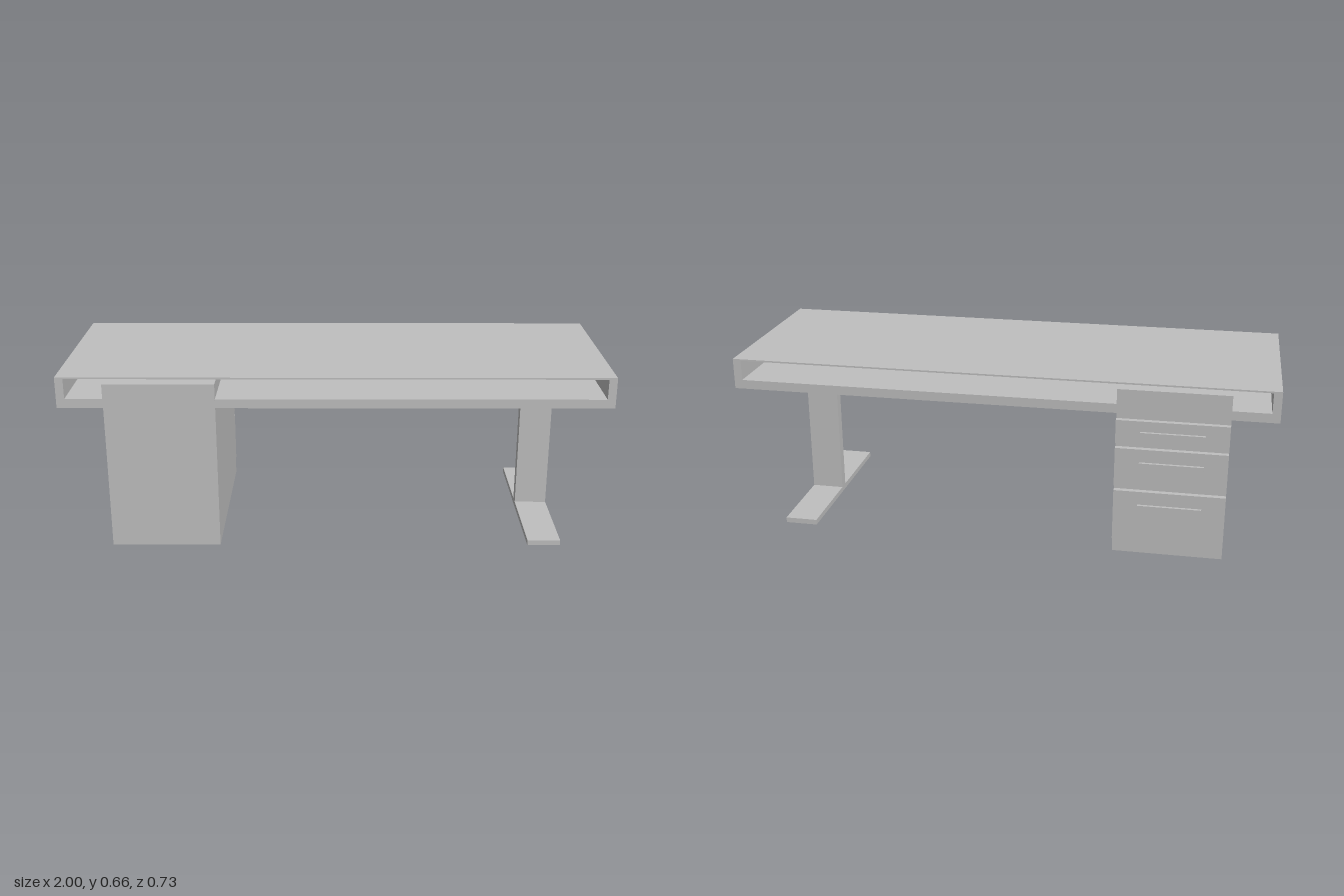
import * as THREE from 'three';

export function createModel() {
  const desk = new THREE.Group();
  desk.name = 'desk';
  const grey = new THREE.MeshStandardMaterial({ color: 0xbfbfbf });
  grey.name = 'plain grey';

  // Box given by its two opposite corners
  function box(name, [x0, y0, z0], [x1, y1, z1], parent = desk) {
    const mesh = new THREE.Mesh(new THREE.BoxGeometry(x1 - x0, y1 - y0, z1 - z0), grey);
    mesh.position.set((x0 + x1) / 2, (y0 + y1) / 2, (z0 + z1) / 2);
    mesh.name = name;
    parent.add(mesh);
    return mesh;
  }

  function rectangle(target, x0, y0, x1, y1) {
    target.moveTo(x0, y0);
    target.lineTo(x1, y0);
    target.lineTo(x1, y1);
    target.lineTo(x0, y1);
    target.closePath();
    return target;
  }

  // Hollow desktop, open at the front and the back
  const backZ = -0.341, frontZ = 0.366;
  const section = rectangle(new THREE.Shape(), -1, 0.546, 1, 0.661);
  section.holes.push(rectangle(new THREE.Path(), -0.97, 0.58, 0.97, 0.655));
  const top = new THREE.Mesh(
    new THREE.ExtrudeGeometry(section, { depth: frontZ - backZ, bevelEnabled: false }), grey);
  top.position.z = backZ;
  top.name = 'desktop';
  desk.add(top);

  // Drawer cabinet, its upper part set through the desktop floor
  const cabinet = new THREE.Group();
  cabinet.name = 'drawerCabinet';
  desk.add(cabinet);
  const cx0 = -0.834, cx1 = -0.432;
  box('cabinetBody', [cx0, 0, -0.335], [cx1, 0.546, 0.363], cabinet);
  box('cabinetTop', [cx0, 0.546, backZ - 0.001], [cx1, 0.636, frontZ + 0.001], cabinet);

  // Drawer fronts with bar handles: bottom, top, handle bottom
  [[0.437, 0.525, 0.468], [0.272, 0.418, 0.351], [0.06, 0.253, 0.185]].forEach(([y0, y1, h], i) => {
    box(`drawerFront${i + 1}`, [cx0, y0, -0.355], [cx1, y1, -0.335], cabinet);
    box(`drawerHandle${i + 1}`, [-0.75, h, -0.366], [-0.52, h + 0.018, -0.355], cabinet);
  });

  // T-shaped leg
  const leg = new THREE.Group();
  leg.name = 'leg';
  desk.add(leg);
  box('legFoot', [0.718, 0, -0.335], [0.84, 0.02, 0.363], leg);
  box('legColumn', [0.718, 0.02, -0.02], [0.84, 0.546, 0.018], leg);

  return desk;
}
